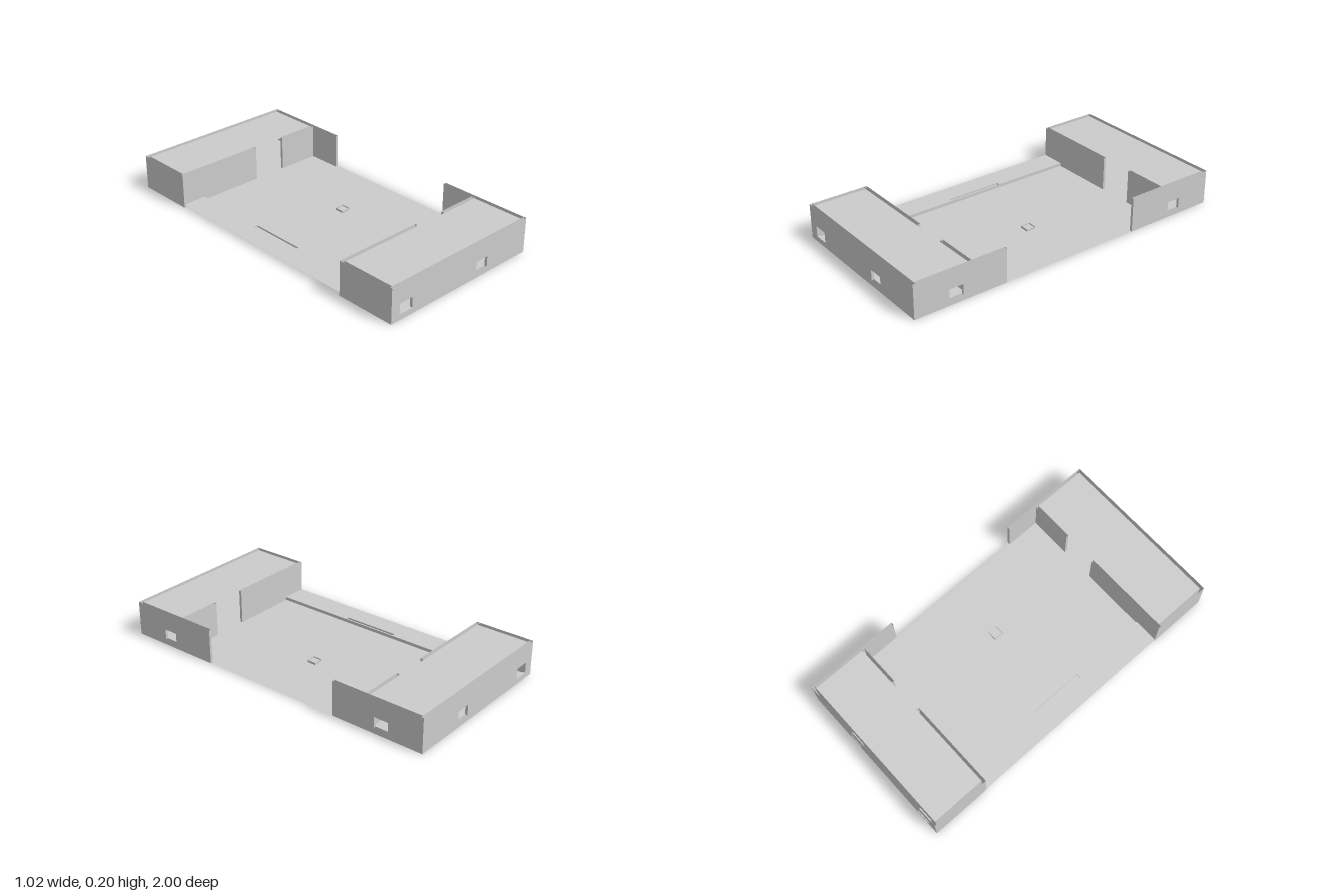
import * as THREE from 'three';

const H = 0.205, T = 0.0155;      // wall height and thickness
const SILL = 0.0325, LINTEL = 0.095; // window bottom and top
const PORCH = 0.02, STEP_X = -0.363, GROOVE_X = -0.387;

function rect(C, a, b, c, d) {
  const p = new C();
  p.moveTo(a, b);
  p.lineTo(c, b);
  p.lineTo(c, d);
  p.lineTo(a, d);
  p.closePath();
  return p;
}

// Keeps only the upright faces, leaving a hollow shell
function uprightOnly(geometry) {
  const p = geometry.attributes.position, n = geometry.attributes.normal;
  const pos = [], nor = [];
  for (let i = 0; i < p.count; i++) {
    if (Math.abs(n.getY(i)) > 0.9) continue;
    pos.push(p.getX(i), p.getY(i), p.getZ(i));
    nor.push(n.getX(i), n.getY(i), n.getZ(i));
  }
  const g = new THREE.BufferGeometry();
  g.setAttribute('position', new THREE.Float32BufferAttribute(pos, 3));
  g.setAttribute('normal', new THREE.Float32BufferAttribute(nor, 3));
  return g;
}

export function createModel() {
  const model = new THREE.Group();
  model.name = 'openHouse';
  // All parts are open shells or thin sheets
  const material = new THREE.MeshStandardMaterial({ color: 0xcccccc, side: THREE.DoubleSide });

  function add(name, geometry) {
    const mesh = new THREE.Mesh(geometry, material);
    mesh.name = name;
    model.add(mesh);
    return mesh;
  }

  // Wall from u0 to u1, each window given as its range along the wall
  function wall(name, u0, u1, windows = []) {
    const shape = rect(THREE.Shape, u0, 0, u1, H);
    for (const [a, b] of windows) shape.holes.push(rect(THREE.Path, a, SILL, b, LINTEL));
    return add(name, uprightOnly(new THREE.ExtrudeGeometry(shape, { depth: T, bevelEnabled: false })));
  }

  // Level sheet from an outline in x and z, facing up
  function sheet(name, shape, y) {
    const g = new THREE.ShapeGeometry(shape);
    g.scale(1, -1, 1);
    g.rotateX(-Math.PI / 2);
    g.translate(0, y, 0);
    const index = g.index.array;
    for (let i = 0; i < index.length; i += 3) [index[i], index[i + 1]] = [index[i + 1], index[i]];
    g.computeVertexNormals();
    return add(name, g);
  }
  const outline = (pts) => new THREE.Shape(pts.map(([x, z]) => new THREE.Vector2(x, z)));

  // Low upright rim around a rectangle, with a sheet inside it
  function pocket(name, x0, z0, x1, z1, height, sheetY) {
    const rim = new THREE.BoxGeometry(x1 - x0, height, z1 - z0).toNonIndexed();
    rim.translate((x0 + x1) / 2, height / 2, (z0 + z1) / 2);
    add(name + 'Rim', uprightOnly(rim));
    sheet(name + 'Base', rect(THREE.Shape, x0, z0, x1, z1), sheetY);
  }

  // Main floor with a small square pocket
  const floor = outline([
    [STEP_X, -0.643], [0.495, -0.643], [0.495, -0.435], [0.51, -0.435],
    [0.51, 0.435], [0.495, 0.435], [0.495, 0.643], [STEP_X, 0.643],
  ]);
  floor.holes.push(rect(THREE.Path, 0.105, -0.028, 0.16, 0.028));
  sheet('mainFloor', floor, 0.001);
  pocket('floorPocket', 0.105, -0.028, 0.16, 0.028, 0.014, 0.007);

  // Raised porch with a groove along the entrance and a step on either side
  sheet('porch', outline([
    [-0.51, -0.643], [STEP_X, -0.643], [STEP_X, -0.17], [GROOVE_X, -0.17],
    [GROOVE_X, 0.17], [STEP_X, 0.17], [STEP_X, 0.643], [-0.51, 0.643],
  ]), PORCH);
  pocket('entranceGroove', GROOVE_X, -0.17, STEP_X, 0.17, PORCH, 0.01);
  for (const s of [1, -1]) {
    const step = new THREE.PlaneGeometry(0.473, PORCH);
    step.rotateY(Math.PI / 2);
    step.translate(STEP_X, PORCH / 2, s * 0.4065);
    add('porchStep', step);
  }

  // The two end rooms mirror each other in z
  for (const s of [1, -1]) {
    const end = s > 0 ? 'front' : 'back';
    const zAt = (outer) => (s > 0 ? outer - T : -outer);

    wall(end + 'OuterWall', -0.51, 0.51, [[-0.452, -0.363], [0.115, 0.202]]).position.z = zAt(1);
    wall(end + 'InnerWallRight', -0.51, 0.033).position.z = zAt(0.6585);
    wall(end + 'InnerWallLeft', 0.24, 0.51 - T).position.z = zAt(0.6585);
    for (const y of [SILL, LINTEL]) {
      sheet(end + 'WindowReveal', rect(THREE.Shape, -0.452, s * (1 - T), -0.363, s), y);
    }

    const range = (a, b) => (s > 0 ? [a, b] : [-b, -a]);
    const left = wall(end + 'LeftWall', ...range(0.435, 1 - T), [range(0.705, 0.79)]);
    const right = wall(end + 'RightWall', ...range(0.6585, 1 - T));
    left.position.x = 0.51;
    right.position.x = -0.51 + T;
    left.rotation.y = right.rotation.y = -Math.PI / 2;

    // Room floor reaches through the doorway
    sheet(end + 'RoomFloor', outline([
      [-0.4945, 0.6585], [0.033, 0.6585], [0.033, 0.643], [0.24, 0.643],
      [0.24, 0.6585], [0.4945, 0.6585], [0.4945, 0.9845], [-0.4945, 0.9845],
    ].map(([x, z]) => [x, z * s])), 0.001);
    sheet(end + 'Roof', rect(THREE.Shape, -0.4945, 0.6585 * s, 0.4945, 0.9845 * s), 0.197);
  }
  return model;
}
